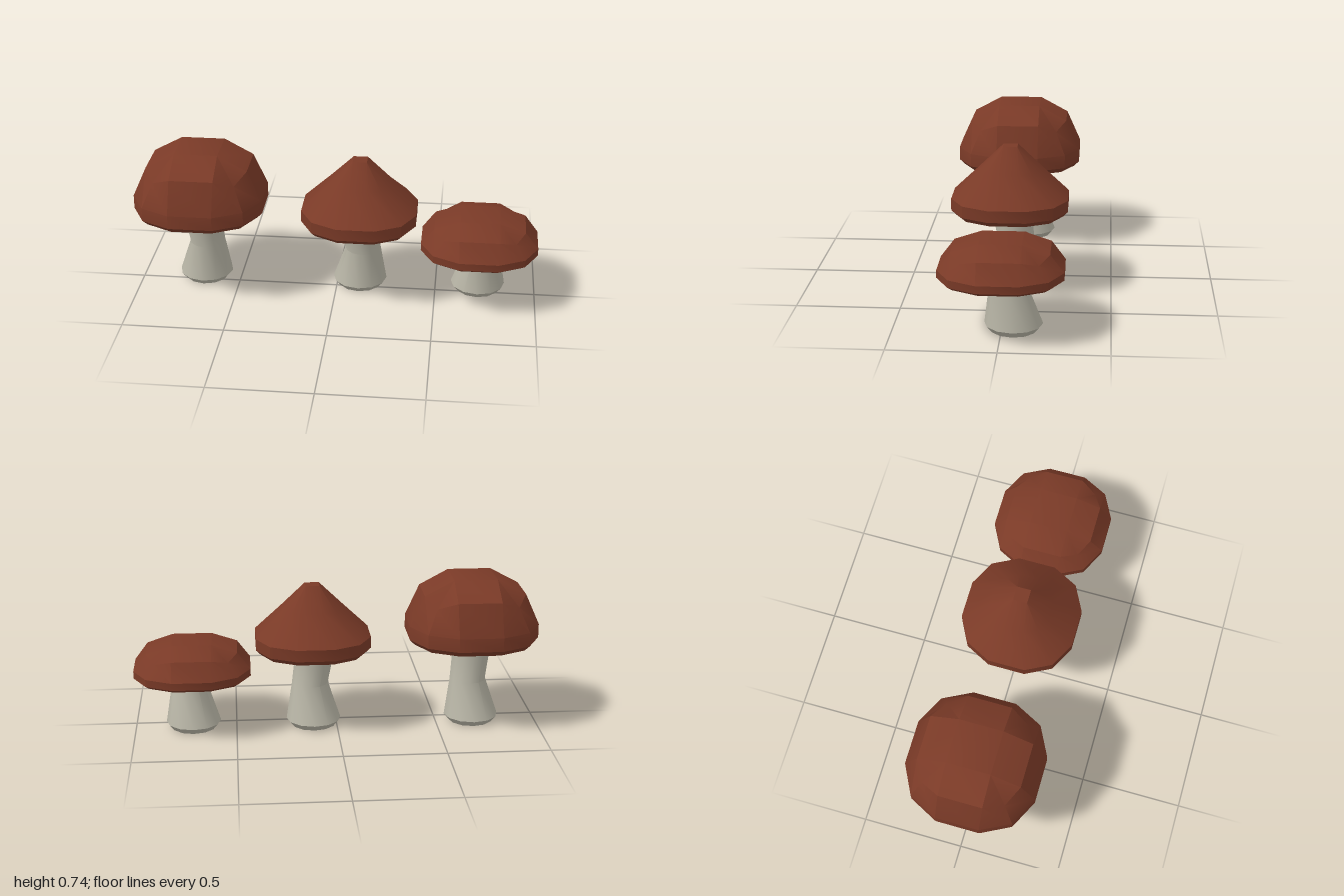
import * as THREE from 'three';
import { toCreasedNormals } from 'three/addons/utils/BufferGeometryUtils.js';

const SIDES = 12;
const capMaterial = new THREE.MeshStandardMaterial({ color: 0x7a3a27, side: THREE.DoubleSide });
const stemMaterial = new THREE.MeshStandardMaterial({ color: 0xb8b5a6, side: THREE.DoubleSide });

// Skin a stack of 12-point rings, listed from top to bottom
function loft(rings, closedTop, crease) {
  const index = [];
  for (let r = 0; r < rings.length - 1; r++) {
    for (let i = 0; i < SIDES; i++) {
      const j = (i + 1) % SIDES;
      const a = r * SIDES + i, b = r * SIDES + j;
      const d = a + SIDES, e = b + SIDES;
      // skip the collapsed triangles around a square top
      if (rings[r][i].distanceTo(rings[r][j]) > 1e-5) index.push(a, b, d);
      index.push(b, e, d);
    }
  }
  if (closedTop) index.push(7, 4, 1, 7, 1, 0);
  const geometry = new THREE.BufferGeometry().setFromPoints(rings.flat());
  geometry.setIndex(index);
  return toCreasedNormals(geometry, crease);
}

// Rounded-square ring: side distance s, half width m of the side, corner c
function squareRing([y, s, m, c, cornerY = y]) {
  const points = [];
  for (let k = 0; k < 4; k++) {
    for (const [px, py, pz] of [[s, y, -m], [s, y, m], [c, cornerY, c]]) {
      let x = px, z = pz;
      for (let n = 0; n < k; n++) [x, z] = [-z, x];
      points.push(new THREE.Vector3(x, py, z));
    }
  }
  return points;
}

function roundRing([y, radius, x, z]) {
  return Array.from({ length: SIDES }, (_, i) => {
    const t = (i / SIDES) * Math.PI * 2;
    return new THREE.Vector3(x + radius * Math.cos(t), y, z + radius * Math.sin(t));
  });
}

function createMushroom(name, x, capRings, waistY, bendY, stemTop) {
  const mushroom = new THREE.Group();
  mushroom.name = name;
  mushroom.position.x = x;

  // Hollow cap with an inward-turned rim
  const cap = new THREE.Mesh(loft(capRings.map(squareRing), true, 0.53), capMaterial);
  cap.name = 'cap';

  // Bent hollow stem with a flared foot
  const stemRings = [
    [stemTop, 0.09, 0, -0.01],
    [bendY, 0.094, 0, -0.018],
    [waistY, 0.09, 0.016, -0.032],
    [0.03, 0.135, 0, -0.055],
    [0, 0.11, 0, -0.055],
  ];
  const stem = new THREE.Mesh(loft(stemRings.map(roundRing), false, 0.6), stemMaterial);
  stem.name = 'stem';

  mushroom.add(cap, stem);
  return mushroom;
}

export function createModel() {
  const model = new THREE.Group();
  model.name = 'mushrooms';

  // Cap rings: height, side distance, half side width, corner, corner height
  const domeCap = [
    [0.742, 0.107, 0.107, 0.107],
    [0.665, 0.25, 0.107, 0.2, 0.625],
    [0.51, 0.32, 0.107, 0.248],
    [0.442, 0.32, 0.107, 0.248],
    [0.415, 0.295, 0.098, 0.228],
  ];
  const pointedCap = [
    [0.708, 0.035, 0.035, 0.035],
    [0.598, 0.146, 0.05, 0.11, 0.59],
    [0.46, 0.283, 0.092, 0.218],
    [0.402, 0.283, 0.092, 0.218],
    [0.378, 0.26, 0.085, 0.2],
  ];
  const flatCap = [
    [0.437, 0.097, 0.097, 0.097],
    [0.395, 0.223, 0.097, 0.177, 0.37],
    [0.31, 0.287, 0.095, 0.222],
    [0.274, 0.287, 0.095, 0.222],
    [0.257, 0.262, 0.088, 0.203],
  ];

  model.add(
    createMushroom('domeMushroom', -0.68, domeCap, 0.21, 0.34, 0.62),
    createMushroom('pointedMushroom', 0.115, pointedCap, 0.21, 0.3, 0.54),
    createMushroom('flatMushroom', 0.713, flatCap, 0.21, 0.26, 0.38),
  );
  return model;
}
